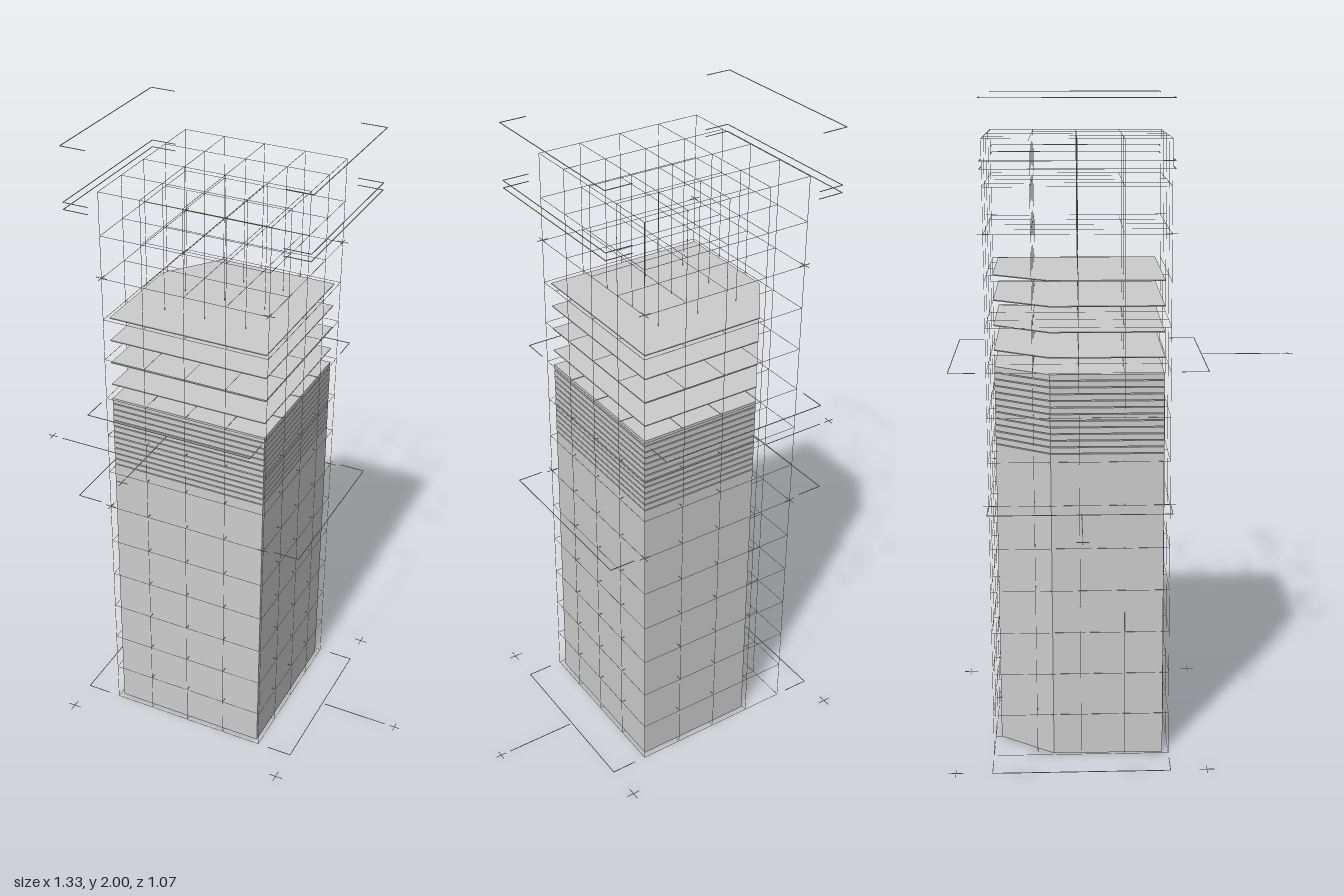
import * as THREE from 'three';
import { mergeGeometries } from 'three/addons/utils/BufferGeometryUtils.js';

const material = new THREE.MeshStandardMaterial({ color: 0xcccccc });

// Floor plan as [x, z], a square with one cut corner
const PLAN = [[-0.26, 0.117], [0.25, 0.117], [0.25, -0.387], [-0.135, -0.387], [-0.26, -0.22]];
const CX = -0.004, CZ = -0.135, STEP = 0.1335, STEP_Z = 0.135;

// Prism over the floor plan
function slab(y, height) {
  const shape = new THREE.Shape(PLAN.map(([x, z]) => new THREE.Vector2(x, -z)));
  return new THREE.ExtrudeGeometry(shape, { depth: height, bevelEnabled: false })
    .rotateX(-Math.PI / 2).translate(0, y, 0);
}

// Axis-aligned thin rod between two points
function rod(a, b, t) {
  const size = a.map((v, i) => Math.abs(b[i] - v) + t);
  const mid = a.map((v, i) => (v + b[i]) / 2);
  return new THREE.BoxGeometry(...size).translate(...mid);
}

// Small horizontal plus sign
function cross(x, y, z, r = 0.017, t = 0.0015) {
  return [rod([x - r, y, z], [x + r, y, z], t), rod([x, y, z - r], [x, y, z + r], t)];
}

export function createModel() {
  const model = new THREE.Group();
  const add = (name, geometries) => {
    const mesh = new THREE.Mesh(mergeGeometries(geometries), material);
    mesh.name = name;
    model.add(mesh);
  };

  // Solid tower with stacked floors and floating plates above
  add('towerBody', [slab(0, 0.964)]);
  const floors = [];
  for (let i = 0; i < 12; i++) floors.push(slab(0.967 + i * 0.0201, 0.017));
  add('stackedFloors', floors);
  add('floatingPlates', [1.253, 1.328, 1.404, 1.479].map((y) => slab(y, 0.003)));

  // Lattice of hairline rods, 4 x 4 cells in plan and 14 levels high
  const T = 0.001, HX = 2 * STEP, HZ = 2 * STEP_Z, TOP = 14 * 0.1345;
  const lattice = [];
  for (let i = -2; i <= 2; i++) {
    const x = CX + i * STEP;
    const z = CZ + i * STEP_Z;
    for (let k = 0; k <= 14; k++) {
      const y = 0.001 + k * 0.1345;
      lattice.push(rod([x, y, CZ - HZ], [x, y, CZ + HZ], T));
      lattice.push(rod([CX - HX, y, z], [CX + HX, y, z], T));
    }
    for (let j = -2; j <= 2; j++) {
      const zj = CZ + j * STEP_Z;
      lattice.push(rod([x, 0.001, zj], [x, TOP, zj], T));
    }
  }
  add('lattice', lattice);

  // Bracket-shaped dimension lines on both sides, and front and back
  const brackets = [];
  const B = 0.0018, LEG = 0.08;
  for (const s of [-1, 1]) {
    for (const y of [0.001, 0.816, 1.808, 1.83, 1.999]) {
      const x = CX + s * 0.384;
      brackets.push(rod([x, y, CZ - HZ], [x, y, CZ + HZ], B));
      for (const z of [CZ - HZ, CZ + HZ]) brackets.push(rod([x - s * LEG, y, z], [x, y, z], B));
    }
    const z = CZ + s * 0.382;
    const y = 1.213;
    brackets.push(rod([CX - HX, y, z], [CX + HX, y, z], B));
    for (const x of [CX - HX, CX + HX]) brackets.push(rod([x, y, z - s * LEG], [x, y, z], B));
  }
  add('brackets', brackets);

  // Registration crosses at the outer base corners and the lattice corners
  const crosses = [];
  for (const sx of [-1, 1]) for (const sz of [-1, 1]) {
    crosses.push(...cross(CX + sx * 0.381, 0.001, CZ + sz * 0.381, 0.022));
    for (const y of [0.81, 1.617]) crosses.push(...cross(CX + sx * HX, y, CZ + sz * HZ));
  }
  add('registrationCrosses', crosses);

  // Pointer lines reaching outwards, each ending in a cross
  add('leftPointer', [rod([0.39, 0.001, -0.145], [0.61, 0.001, -0.145], B), ...cross(0.645, 0.001, -0.145)]);
  add('rightPointer', [rod([-0.39, 0.82, -0.13], [-0.61, 0.82, -0.13], B), ...cross(-0.648, 0.82, -0.13)]);
  add('frontPointer', [rod([-0.005, 1.213, 0.25], [-0.005, 1.213, 0.49], B), ...cross(-0.005, 1.213, 0.515)]);

  return model;
}
